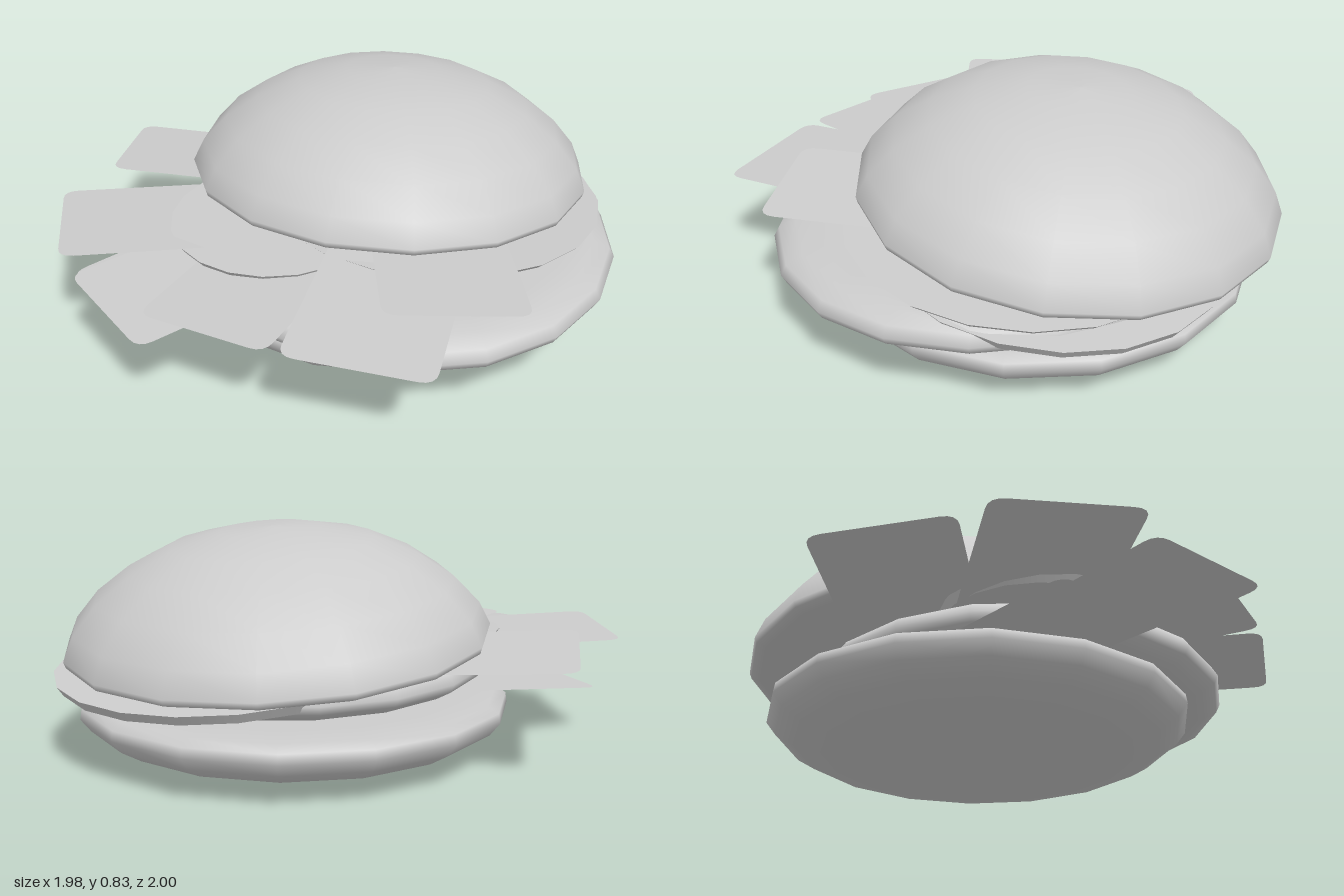
import * as THREE from 'three';

const material = new THREE.MeshStandardMaterial({ color: 0xcccccc });
const thinMaterial = new THREE.MeshStandardMaterial({ color: 0xcccccc, side: THREE.DoubleSide });

function addMesh(group, name, geometry, position = [0, 0, 0], mat = material) {
  const mesh = new THREE.Mesh(geometry, mat);
  mesh.name = name;
  mesh.position.set(...position);
  group.add(mesh);
  return mesh;
}

// Round body from a [radius, height] profile, listed bottom to top
function turned(profile, sides = 16) {
  return new THREE.LatheGeometry(profile.map(([r, y]) => new THREE.Vector2(r, y)), sides);
}

// Sheet with rounded corners, u across and v inward from the outer edge
function roundedSheet(w, l, r) {
  const s = new THREE.Shape();
  const h = w / 2;
  s.moveTo(-h + r, 0);
  s.lineTo(h - r, 0);
  s.quadraticCurveTo(h, 0, h, r);
  s.lineTo(h, l - r);
  s.quadraticCurveTo(h, l, h - r, l);
  s.lineTo(-h + r, l);
  s.quadraticCurveTo(-h, l, -h, l - r);
  s.lineTo(-h, r);
  s.quadraticCurveTo(-h, 0, -h + r, 0);
  return new THREE.ShapeGeometry(s, 4);
}

// Flat slice whose outer edge runs from p to q, reaching inward to height innerY
function addSlice(group, name, p, q, innerY, length = 0.72) {
  const a = new THREE.Vector3(...p);
  const b = new THREE.Vector3(...q);
  const mid = a.clone().add(b).multiplyScalar(0.5);
  const u = b.clone().sub(a);
  const width = u.length();
  u.normalize();
  const v = new THREE.Vector3(-u.z, 0, u.x).normalize();
  if (v.x * mid.x + v.z * mid.z > 0) v.negate();
  v.y = (innerY - mid.y) / length;
  v.addScaledVector(u, -v.dot(u)).normalize();
  const n = u.clone().cross(v);
  const geometry = roundedSheet(width, length, 0.055);
  geometry.applyMatrix4(new THREE.Matrix4().makeBasis(u, v, n).setPosition(mid));
  addMesh(group, name, geometry, [0, 0, 0], thinMaterial);
}

export function createModel() {
  const model = new THREE.Group();
  model.name = 'burger';

  // Bottom bun
  addMesh(model, 'bottomBun', turned([
    [0, 0], [0.25, 0.005], [0.5, 0.025], [0.675, 0.065], [0.75, 0.11],
    [0.785, 0.155], [0.78, 0.19], [0.74, 0.21], [0.6, 0.215], [0, 0.215],
  ]), [0.095, 0, -0.125]).rotation.y = 0.06;

  // Patty with a gently warped outline
  const patty = turned([
    [0, -0.07], [0.6, -0.07], [0.71, -0.055], [0.765, -0.025], [0.78, 0.005],
    [0.76, 0.04], [0.7, 0.065], [0.6, 0.075], [0, 0.07],
  ], 18);
  const pos = patty.attributes.position;
  for (let i = 0; i < pos.count; i++) {
    const x = pos.getX(i), z = pos.getZ(i);
    const angle = Math.atan2(z, x), r = Math.hypot(x, z);
    pos.setY(i, pos.getY(i) + r * (-0.018 * Math.cos(angle - 0.7) - 0.012 * Math.cos(2 * angle - 1.4)));
  }
  addMesh(model, 'patty', patty, [0.22, 0.28, -0.02]);

  // Round slices: [name, radius, thickness, position, tilt]
  const rounds = [
    ['lowerRoundSlice', 0.62, 0.035, [0.27, 0.32, -0.3], -0.1],
    ['upperRoundSlice', 0.63, 0.02, [0.28, 0.36, -0.2], -0.06],
    ['smallRoundSlice', 0.38, 0.03, [-0.17, 0.39, 0.23], 0.02],
  ];
  for (const [name, r, t, position, tilt] of rounds) {
    addMesh(model, name, new THREE.CylinderGeometry(r, r - 0.02, t, 20), position).rotation.x = tilt;
  }

  // Thin square-ended slices fanned out around the front: [outer edge ends, inner height]
  const slices = [
    [[-1.0, 0.4, -0.24], [-0.87, 0.45, 0.21], 0.38],
    [[-0.99, 0.4, 0.36], [-0.73, 0.42, 0.77], 0.38],
    [[-0.69, 0.355, 0.77], [-0.28, 0.34, 1.01], 0.36],
    [[-0.35, 0.37, 0.89], [0.12, 0.39, 0.94], 0.385],
    [[0.16, 0.39, 0.94], [0.64, 0.38, 0.88], 0.41],
    [[0.41, 0.45, 0.71], [0.84, 0.425, 0.51], 0.41],
    [[-0.87, 0.17, 0.53], [-0.47, 0.19, 0.8], 0.25],
  ];
  slices.forEach(([p, q, y], i) => addSlice(model, `flatSlice${i + 1}`, p, q, y));

  // Domed top bun, tipped toward the back
  addMesh(model, 'topBun', turned([
    [0, 0], [0.6, 0], [0.71, 0.004], [0.745, 0.018], [0.752, 0.04], [0.715, 0.12],
    [0.63, 0.215], [0.51, 0.3], [0.36, 0.37], [0.18, 0.41], [0, 0.42],
  ]), [0.085, 0.4, -0.255]).rotation.set(-0.1, 0.06, 0);

  return model;
}
